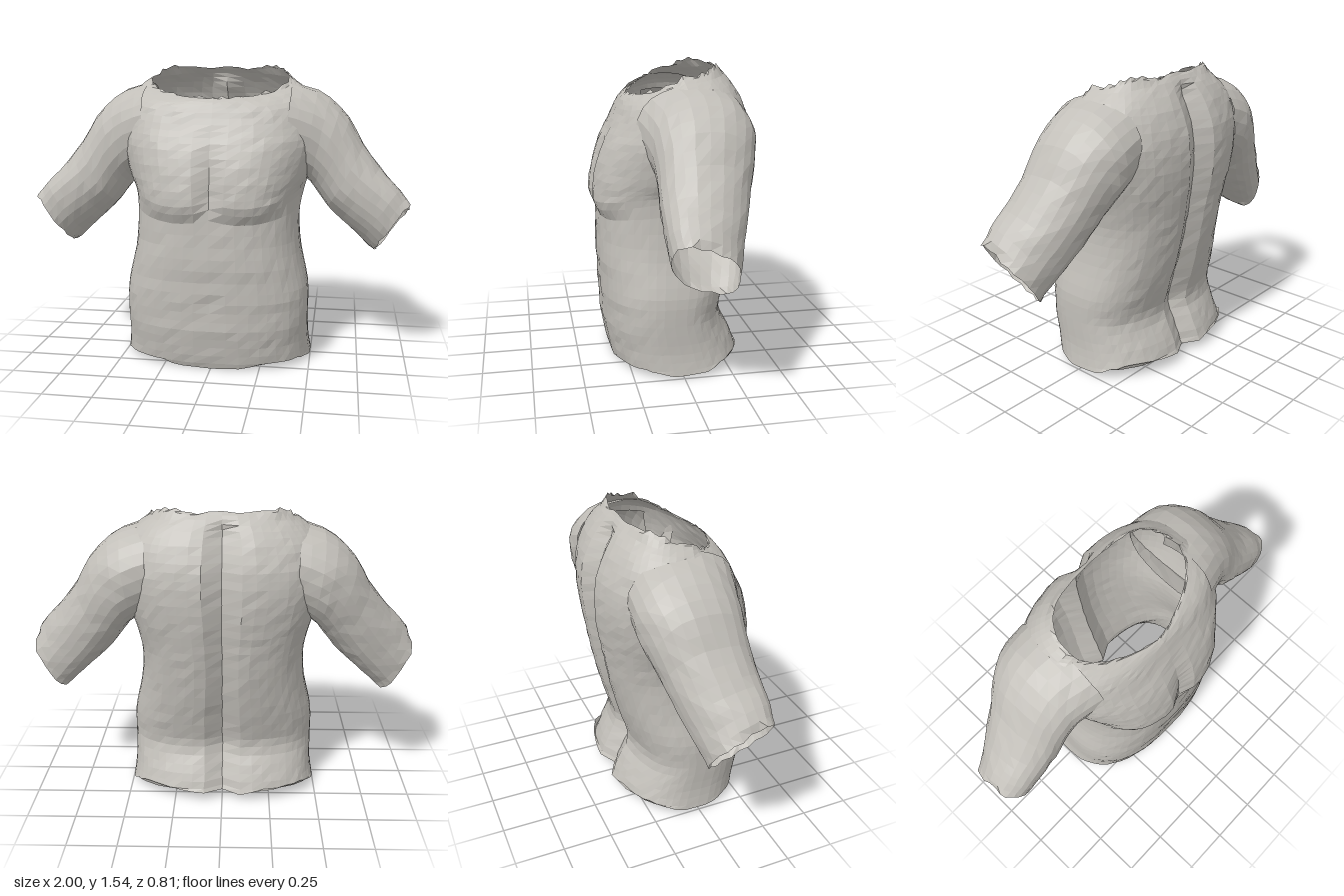
import * as THREE from 'three';

const cloth = new THREE.MeshStandardMaterial({ color: 0xc2bfb9, flatShading: true, side: THREE.DoubleSide });
cloth.name = 'warm grey';

// Torso rings, hem to neck: half width, front z, back z, then y at front, side and back
const TORSO = [
  [0.50, 0.32, -0.35, 0.005, 0.02, 0.05],
  [0.485, 0.35, -0.31, 0.13, 0.13, 0.15],
  [0.485, 0.365, -0.25, 0.27, 0.28, 0.28],
  [0.48, 0.372, -0.28, 0.42, 0.42, 0.42],
  [0.44, 0.38, -0.33, 0.60, 0.60, 0.60],
  [0.425, 0.375, -0.365, 0.77, 0.77, 0.77],
  [0.445, 0.365, -0.385, 0.90, 0.90, 0.90],
  [0.48, 0.355, -0.40, 1.02, 1.02, 1.02],
  [0.51, 0.335, -0.405, 1.14, 1.16, 1.15],
  [0.51, 0.30, -0.39, 1.23, 1.28, 1.27],
  [0.48, 0.26, -0.345, 1.32, 1.39, 1.39],
  [0.42, 0.235, -0.285, 1.37, 1.45, 1.48],
  [0.36, 0.21, -0.23, 1.39, 1.49, 1.535],
];

// Sleeve rings, shoulder to cuff: top x, top y, bottom x, bottom y, front z, back z
const SLEEVE = [
  [0.38, 1.455, 0.36, 1.02, 0.22, -0.33],
  [0.53, 1.41, 0.46, 0.96, 0.175, -0.335],
  [0.66, 1.30, 0.51, 0.90, 0.16, -0.305],
  [0.75, 1.15, 0.57, 0.82, 0.16, -0.265],
  [0.85, 1.02, 0.66, 0.74, 0.16, -0.225],
  [0.93, 0.93, 0.75, 0.66, 0.16, -0.185],
  [1.00, 0.835, 0.82, 0.59, 0.15, -0.155],
];

const { smoothstep, lerp, clamp } = THREE.MathUtils;

// Small repeatable unevenness between -1 and 1
const rough = (a, b) => {
  const v = Math.sin(a * 127.1 + b * 311.7) * 43758.5453;
  return (v - Math.floor(v)) * 2 - 1;
};

// Smooth interpolation between key rings
function ringAt(keys, t) {
  const f = t * (keys.length - 1);
  const i = Math.min(Math.floor(f), keys.length - 2);
  const u = f - i;
  const key = (k) => keys[clamp(k, 0, keys.length - 1)];
  return keys[i].map((b, n) => {
    const a = key(i - 1)[n], c = key(i + 1)[n], d = key(i + 2)[n];
    return b + 0.5 * u * (c - a + u * (2 * a - 5 * b + 4 * c - d + u * (3 * (b - c) + d - a)));
  });
}

// Open tube of rings; keep() can leave out faces by their position
function loft(rows, cols, point, keep = () => true) {
  const pos = [], index = [];
  for (let i = 0; i <= rows; i++)
    for (let j = 0; j < cols; j++) pos.push(...point(i / rows, (j / cols) * Math.PI * 2, i, j));
  for (let i = 0; i < rows; i++) {
    for (let j = 0; j < cols; j++) {
      const a = i * cols + j, b = i * cols + ((j + 1) % cols), c = a + cols, d = b + cols;
      if (keep(...pos.slice(a * 3, a * 3 + 3))) index.push(a, c, b, b, c, d);
    }
  }
  const geo = new THREE.BufferGeometry();
  geo.setAttribute('position', new THREE.Float32BufferAttribute(pos, 3));
  geo.setIndex(index);
  geo.computeVertexNormals();
  return geo;
}

function torsoPoint(t, angle, i, j) {
  const [hw, zf, zb, yf, ys, yb] = ringAt(TORSO, t);
  const c = Math.cos(angle), s = Math.sin(angle);
  const front = s > 0;
  const neck = smoothstep(t, 0.82, 1);
  // Rounded-box section that narrows to a scooped front at the neck
  const px = front ? lerp(0.8, 1.45, neck) : 0.75;
  const pz = front ? lerp(0.8, 1, neck) : 0.75;
  const z0 = (zf + zb) * 0.4;
  const x = hw * Math.sign(c) * Math.abs(c) ** px;
  const ax = Math.abs(x), w = Math.abs(s);
  let y = lerp(ys, front ? yf : yb, w ** (front ? lerp(1.2, 0.65, neck) : 1.2));
  let z = z0 + ((front ? zf : zb) - z0) * w ** pz;

  if (front) {
    // Chest lobes over a curved lower edge, with a groove between them
    const lobe = clamp(ax / 0.09, 0, 1) * (1 - smoothstep(ax, 0.26, 0.45));
    z += 0.045 * lobe * smoothstep(y, 0.765, 0.85) * (1 - smoothstep(y, 0.9, 1.3));
    // Slight folds over the belly, and the navel
    z += 0.0025 * Math.sin(y * 36) * (1 - smoothstep(y, 0.6, 0.75)) * w;
    z -= 0.012 * Math.exp(-((x / 0.04) ** 2) - ((y - 0.36) / 0.04) ** 2);
    y += (1.0 * (ax - 0.17) ** 2 + 0.01) * Math.exp(-(((y - 0.82) / 0.1) ** 2));
  } else {
    // Spine groove
    z += 0.055 * Math.max(0, 1 - ax / 0.1) * (1 - smoothstep(t, 0.85, 0.97));
    // Raised corners behind the neck
    if (t > 0.95) y += 0.02 * Math.exp(-(((ax - 0.27) / 0.07) ** 2));
  }
  // Wavy hem, ragged neck edge
  if (t === 0) y += 0.045 * Math.sin(2 * angle) ** 2;
  const edge = t === 1 ? 0.012 : t === 0 ? 0.006 : 0.0015;
  const n = 0.0025;
  return [x + n * rough(i, j) * w, Math.max(0, y + edge * rough(j, i + 5)), z + n * rough(i + 9, j)];
}

function sleevePoint(t, angle, i, j) {
  const [tx, ty, bx, by, zf, zb] = ringAt(SLEEVE, t);
  const c = Math.cos(angle), s = -Math.sin(angle);
  const k = 0.5 + 0.5 * Math.sign(c) * Math.abs(c) ** 0.9;
  const z = (zf + zb) / 2 + ((zf - zb) / 2) * Math.sign(s) * Math.abs(s) ** 0.9;
  const twist = 0.35 * smoothstep(t, 0.4, 1) * z;
  const edge = t === 1 ? 0.012 : 0.0025;
  return [
    Math.min(1, lerp(bx, tx, k) + edge * rough(i, j + 3)),
    lerp(by, ty, k) + twist + edge * rough(i + 2, j),
    z + 0.003 * rough(i + 4, j),
  ];
}

export function createModel() {
  const model = new THREE.Group();
  model.name = 'shirt';

  // Body, left open where the sleeves join
  const insideSleeve = (x, y, z) => Math.abs(x) > 0.43 && y > 1.09 && y < 1.33 && z > -0.22 && z < 0.08;
  const torso = new THREE.Mesh(loft(36, 56, torsoPoint, (x, y, z) => !insideSleeve(x, y, z)), cloth);
  torso.name = 'torso';
  model.add(torso);

  // Mirrored sleeves
  const sleeveGeo = loft(14, 24, sleevePoint);
  for (const side of [1, -1]) {
    const sleeve = new THREE.Mesh(sleeveGeo, cloth);
    sleeve.name = side > 0 ? 'leftSleeve' : 'rightSleeve';
    sleeve.scale.x = side;
    model.add(sleeve);
  }
  return model;
}
